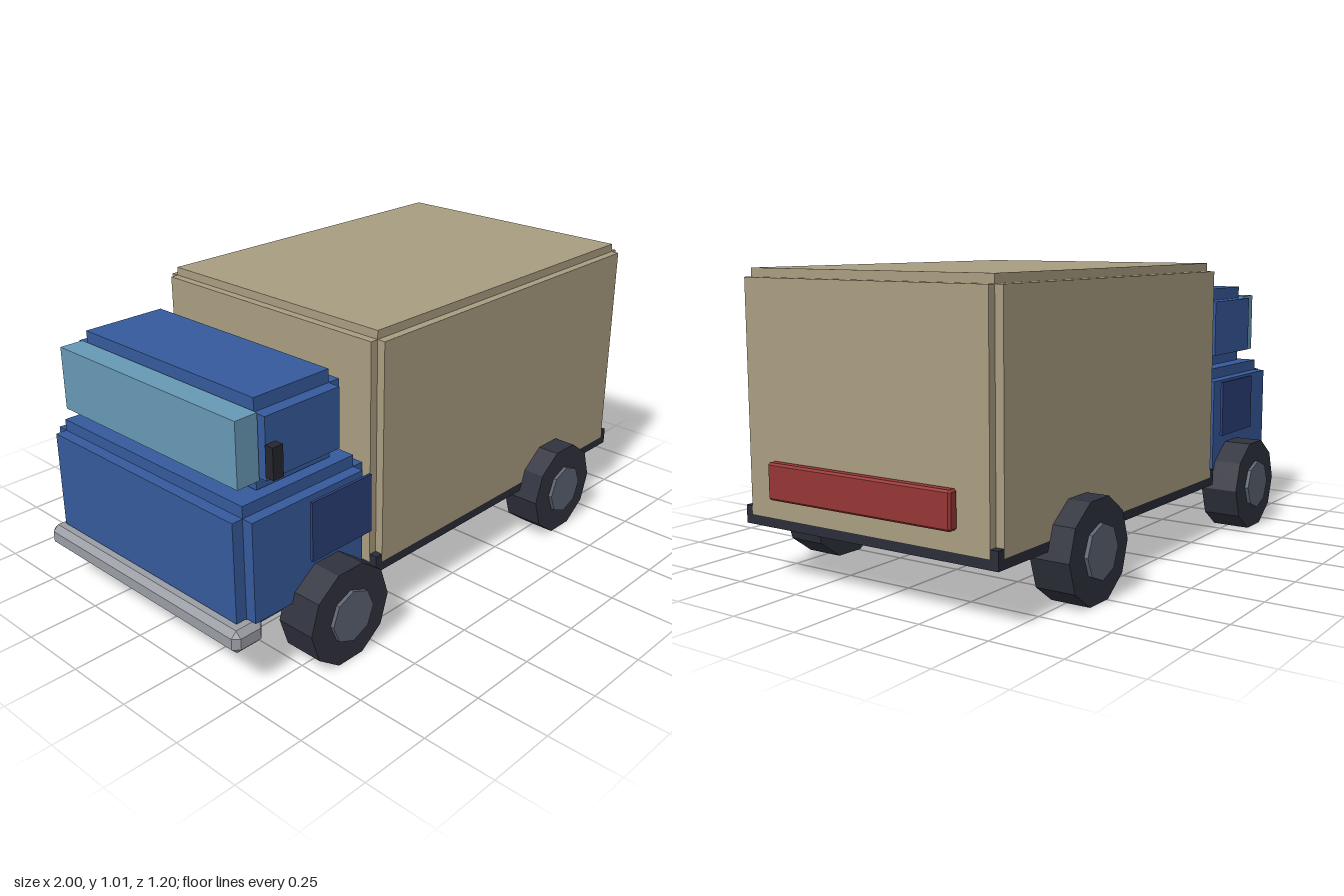
import * as THREE from 'three';
import { ConvexGeometry } from 'three/addons/geometries/ConvexGeometry.js';

const paint = (color) => new THREE.MeshStandardMaterial({ color, flatShading: true });
const mats = {
  cab: paint(0x355a9c), door: paint(0x2c3f78), glass: paint(0x6699b5), cargo: paint(0xa89d80),
  dark: paint(0x2a2c38), tyre: paint(0x30323e), hub: paint(0x5c6472),
  bumper: paint(0x9a9da4), light: paint(0x963535), mirror: paint(0x25262c),
};

function mesh(name, geometry, material) {
  const m = new THREE.Mesh(geometry, material);
  m.name = name;
  return m;
}

// Box given by its limits on each axis
function box(name, material, [x0, x1], [y0, y1], [z0, z1]) {
  const m = mesh(name, new THREE.BoxGeometry(x1 - x0, y1 - y0, z1 - z0), material);
  m.position.set((x0 + x1) / 2, (y0 + y1) / 2, (z0 + z1) / 2);
  return m;
}

// Three crossed boxes, each full length on one axis only, giving stepped edges
function steppedBox(name, material, x, y, z, step) {
  const group = new THREE.Group();
  group.name = name;
  const inset = ([a, b]) => [a + step, b - step];
  group.add(
    box(name + 'Length', material, x, inset(y), inset(z)),
    box(name + 'Height', material, inset(x), y, inset(z)),
    box(name + 'Width', material, inset(x), inset(y), z),
  );
  return group;
}

// Box with every edge and corner cut by a bevel
function bevelBox(name, material, [x0, x1], [y0, y1], [z0, z1], bevel) {
  const half = new THREE.Vector3(x1 - x0, y1 - y0, z1 - z0).multiplyScalar(0.5);
  const points = [];
  for (const sx of [-1, 1]) for (const sy of [-1, 1]) for (const sz of [-1, 1]) {
    for (const full of ['x', 'y', 'z']) {
      const p = half.clone().subScalar(bevel);
      p[full] = half[full];
      points.push(p.multiply(new THREE.Vector3(sx, sy, sz)));
    }
  }
  const m = mesh(name, new ConvexGeometry(points), material);
  m.position.set((x0 + x1) / 2, (y0 + y1) / 2, (z0 + z1) / 2);
  return m;
}

// Ten-sided tyre with an eight-sided hub standing proud of its outer face
function wheel(name, x, side) {
  const group = new THREE.Group();
  group.name = name;
  const disc = (part, radius, sides, z0, z1, material) => {
    const geo = new THREE.CylinderGeometry(radius, radius, z1 - z0, sides, 1, false, Math.PI / 2);
    const m = mesh(part, geo.rotateX(Math.PI / 2), material);
    m.position.z = side * (z0 + z1) / 2;
    group.add(m);
  };
  disc('tyre', 0.172, 10, 0.445, 0.585, mats.tyre);
  disc('hub', 0.09, 8, 0.47, 0.598, mats.hub);
  group.position.set(x, 0.1636, 0);
  return group;
}

export function createModel() {
  const truck = new THREE.Group();
  truck.name = 'boxTruck';

  // Cargo box on its chassis
  truck.add(
    box('chassis', mats.dark, [-0.414, 0.957], [0.187, 0.247], [-0.505, 0.505]),
    steppedBox('cargoBox', mats.cargo, [-0.415, 0.958], [0.19, 1.013], [-0.506, 0.506], 0.029),
  );

  // Cab, windscreen and mirror
  truck.add(
    steppedBox('cabBody', mats.cab, [-0.96, -0.416], [0.19, 0.61], [-0.482, 0.482], 0.04),
    steppedBox('cabRoof', mats.cab, [-0.875, -0.48], [0.615, 0.91], [-0.45, 0.45], 0.045),
    box('windscreen', mats.glass, [-0.92, -0.835], [0.655, 0.872], [-0.425, 0.425]),
    box('mirror', mats.mirror, [-0.88, -0.84], [0.71, 0.812], [0.503, 0.535]),
  );

  // Bumper and rear light bar
  truck.add(
    bevelBox('bumper', mats.bumper, [-1, -0.88], [0.148, 0.226], [-0.482, 0.482], 0.02),
    bevelBox('rearLightBar', mats.light, [0.957, 0.995], [0.287, 0.408], [-0.364, 0.364], 0.007),
  );

  // Doors and wheels on both sides
  for (const side of [-1, 1]) {
    const label = side > 0 ? 'Front' : 'Back';
    const door = box('door' + label, mats.door, [-0.715, -0.455], [0.368, 0.57], [-0.005, 0.005]);
    door.position.z = side * 0.515;
    truck.add(door, wheel('cabWheel' + label, -0.618, side), wheel('cargoWheel' + label, 0.544, side));
  }
  return truck;
}
